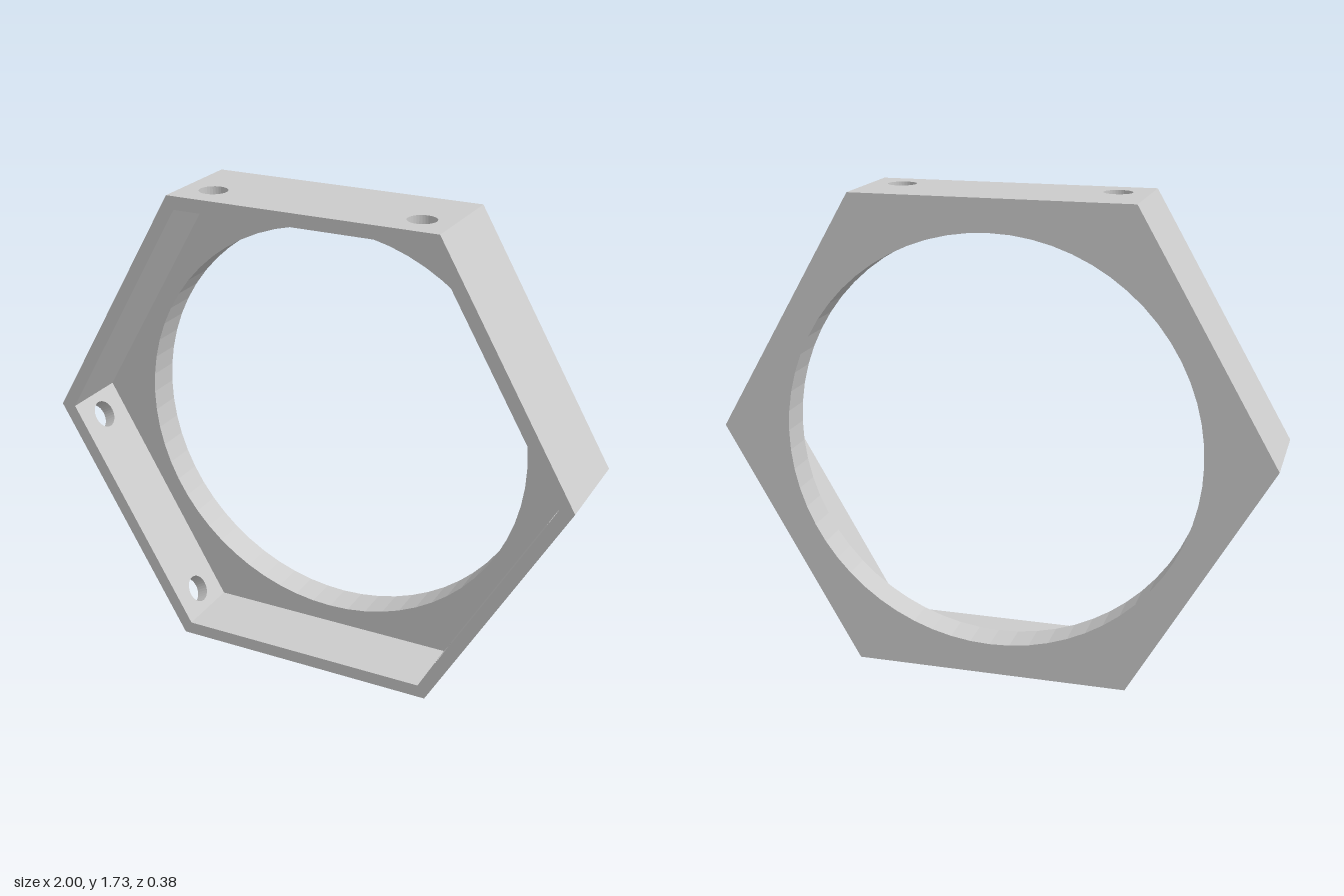
import * as THREE from 'three';

const OUTER = 1, INNER = 0.945, BORE = 0.75; // hexagon corner radii, bore radius
const APO = Math.sqrt(3) / 2;                // apothem of a unit hexagon
const FRONT = 0.1875, BACK = -0.1875, FLOOR = -0.0625;
const HOLE_R = 0.051, HOLE_X = 0.387, HOLE_Z = 0.0625;

const hexPoints = r => Array.from({ length: 6 }, (_, i) =>
  new THREE.Vector2(r * Math.cos(i * Math.PI / 3), r * Math.sin(i * Math.PI / 3)));

const circle = (x, y, r) => new THREE.Path().absarc(x, y, r, 0, Math.PI * 2, false);

export function createModel() {
  const model = new THREE.Group();
  model.name = 'hexagonalRing';
  const material = new THREE.MeshStandardMaterial({
    color: 0xcccccc, flatShading: true, side: THREE.DoubleSide });

  const add = (parent, name, geometry) => {
    const mesh = new THREE.Mesh(geometry, material);
    mesh.name = name;
    parent.add(mesh);
    return mesh;
  };

  // Flat hexagonal face with an opening, lying at depth z
  const hexFace = (name, radius, opening, z) => {
    const shape = new THREE.Shape(hexPoints(radius));
    shape.holes.push(opening);
    return add(model, name, new THREE.ShapeGeometry(shape, 32).translate(0, 0, z));
  };
  hexFace('frontRim', OUTER, new THREE.Path(hexPoints(INNER)), FRONT);
  hexFace('pocketFloor', INNER, circle(0, 0, BORE), FLOOR);
  hexFace('backFace', OUTER, circle(0, 0, BORE), BACK).geometry.rotateY(Math.PI)
    .translate(0, 0, 2 * BACK);

  // Round bore through the back flange
  add(model, 'bore', new THREE.CylinderGeometry(BORE, BORE, FLOOR - BACK, 64, 1, true)
    .rotateX(Math.PI / 2).translate(0, 0, (FLOOR + BACK) / 2));

  // Panel spanning z0..z1, facing outward (dir = 1) or inward (dir = -1)
  const panel = (radius, z0, z1, dir, drilled) => {
    const w = radius / 2;
    const ys = [-dir * z0, -dir * z1].sort((a, b) => a - b);
    const shape = new THREE.Shape([
      new THREE.Vector2(-w, ys[0]), new THREE.Vector2(w, ys[0]),
      new THREE.Vector2(w, ys[1]), new THREE.Vector2(-w, ys[1])]);
    if (drilled) for (const s of [-1, 1])
      shape.holes.push(circle(s * HOLE_X, -dir * HOLE_Z, HOLE_R));
    return new THREE.ShapeGeometry(shape, 16)
      .rotateX(-dir * Math.PI / 2).translate(0, radius * APO, 0);
  };

  // Six side walls; every second one carries two screw holes
  for (let i = 0; i < 6; i++) {
    const wall = new THREE.Group();
    wall.name = `sideWall${i + 1}`;
    wall.rotation.z = i * Math.PI / 3;
    model.add(wall);
    const drilled = i % 2 === 0;
    add(wall, 'outerPanel', panel(OUTER, BACK, FRONT, 1, drilled));
    add(wall, 'innerPanel', panel(INNER, FLOOR, FRONT, -1, drilled));
    if (drilled) for (const s of [-1, 1])
      add(wall, 'screwHole', new THREE.CylinderGeometry(
        HOLE_R, HOLE_R, (OUTER - INNER) * APO, 32, 1, true)
        .translate(s * HOLE_X, (OUTER + INNER) / 2 * APO, HOLE_Z));
  }

  model.position.y = APO;
  const root = new THREE.Group();
  root.add(model);
  return root;
}
